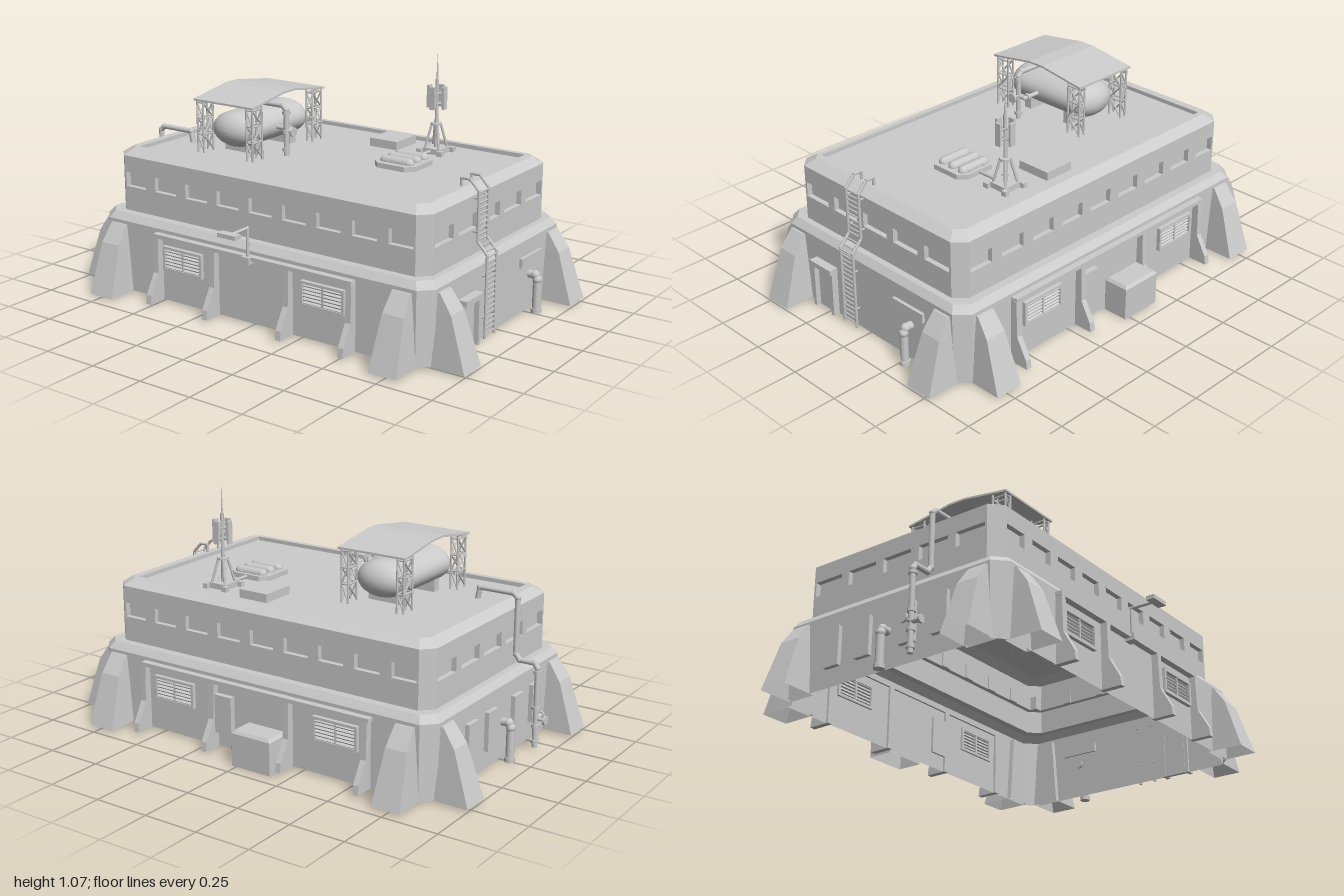
import * as THREE from 'three';

const V = (x, y, z) => new THREE.Vector3(x, y, z);
const flat = new THREE.MeshStandardMaterial({ color: 0xcccccc, flatShading: true });
const smooth = new THREE.MeshStandardMaterial({ color: 0xcccccc });
const shellMat = new THREE.MeshStandardMaterial({ color: 0xcccccc, flatShading: true, side: THREE.DoubleSide });
const CX = 0.007; // body centre in x

function add(parent, name, geo, mat = flat) {
  const m = new THREE.Mesh(geo, mat);
  m.name = name;
  parent.add(m);
  return m;
}
function group(parent, name, x = 0, y = 0, z = 0, ry = 0) {
  const g = new THREE.Group();
  g.name = name;
  g.position.set(x, y, z);
  g.rotation.y = ry;
  parent.add(g);
  return g;
}
// box given by its min and max on each axis
function box(parent, name, x0, x1, y0, y1, z0, z1) {
  const m = add(parent, name, new THREE.BoxGeometry(x1 - x0, y1 - y0, z1 - z0));
  m.position.set((x0 + x1) / 2, (y0 + y1) / 2, (z0 + z1) / 2);
  return m;
}
function rod(parent, name, a, b, r, sides = 6, r2 = r) {
  const d = b.clone().sub(a);
  const m = add(parent, name, new THREE.CylinderGeometry(r2, r, d.length(), sides), smooth);
  m.position.copy(a).add(b).multiplyScalar(0.5);
  m.quaternion.setFromUnitVectors(V(0, 1, 0), d.normalize());
  return m;
}
// run of straight pipes with ball joints
function pipe(parent, name, pts, r, sides = 10) {
  const g = group(parent, name);
  pts.forEach((p, i) => {
    if (i) rod(g, name + 'Run', pts[i - 1], p, r, sides);
    if (i && i < pts.length - 1)
      add(g, name + 'Elbow', new THREE.SphereGeometry(r * 1.15, sides, 6), smooth).position.copy(p);
  });
  return g;
}
// skin over rings of [x, z] points stacked in y, with a cap on the last ring
function loft(rings) {
  const pos = [];
  const n = rings[0].p.length;
  const P = (i, j) => [rings[i].p[j % n][0], rings[i].y, rings[i].p[j % n][1]];
  const last = rings.length - 1;
  for (let j = 0; j < n; j++) {
    for (let i = 0; i < last; i++)
      pos.push(...P(i, j), ...P(i + 1, j), ...P(i, j + 1), ...P(i, j + 1), ...P(i + 1, j), ...P(i + 1, j + 1));
    if (j > 0 && j < n - 1) pos.push(...P(last, 0), ...P(last, j + 1), ...P(last, j));
  }
  const g = new THREE.BufferGeometry();
  g.setAttribute('position', new THREE.Float32BufferAttribute(pos, 3));
  g.computeVertexNormals();
  return g;
}
const oct = (y, hx, hz, c) => ({ y, p: [[hx, c - hz], [hx, hz - c], [hx - c, hz], [c - hx, hz],
  [-hx, hz - c], [-hx, c - hz], [c - hx, -hz], [hx - c, -hz]] });

function buttress(parent, x, z, ry) {
  const ring = (y, d, w) => ({ y, p: [[w, -0.02], [w, d], [-w, d], [-w, -0.02]] });
  const g = group(parent, 'buttress', x, 0, z, ry);
  add(g, 'buttressBlock', loft([ring(0.01, 0.142, 0.065), ring(0.235, 0.068, 0.049), ring(0.315, 0.012, 0.042)]), shellMat);
}

// bent vent pipe standing in front of a wall (out = local +z)
function gooseneck(parent, x, h) {
  const g = group(parent, 'ventPipe', x, 0, 0);
  pipe(g, 'vent', [V(0, 0, 0.04), V(0, h - 0.03, 0.04), V(0, h - 0.01, 0.03), V(0, h - 0.01, -0.01)], 0.018, 12);
  rod(g, 'ventFoot', V(0, 0, 0.04), V(0, 0.02, 0.04), 0.023, 12);
}

// louvred vent on a wall (out = local +z)
function louvre(parent, x) {
  const g = group(parent, 'louvre', x, 0.208, 0);
  for (const s of [-1, 1]) {
    box(g, 'louvreFrame', -0.108, 0.108, s * 0.049 - 0.006, s * 0.049 + 0.006, -0.01, 0.018);
    box(g, 'louvreFrame', s * 0.102 - 0.006, s * 0.102 + 0.006, -0.05, 0.05, -0.01, 0.018);
  }
  box(g, 'louvreMullion', -0.004, 0.004, -0.05, 0.05, -0.01, 0.014);
  for (let i = 0; i < 6; i++) {
    const s = box(g, 'louvreSlat', -0.1, 0.1, -0.003, 0.003, -0.006, 0.014);
    s.position.y = -0.038 + i * 0.015;
    s.rotation.x = 0.5;
  }
}

// long wall dressing: fins, top rail and louvres (out = local +z)
function sideWall(parent, name, x, ry, finsAt, half) {
  const g = group(parent, name, x, 0, 0, ry);
  const s = new THREE.Shape([[-0.01, 0.01], [0.09, 0.01], [0.085, 0.05], [0.035, 0.14], [0.03, 0.3], [-0.01, 0.315]]
    .map(p => new THREE.Vector2(...p)));
  for (const f of finsAt) {
    const m = add(g, 'fin', new THREE.ExtrudeGeometry(s, { depth: 0.026, bevelEnabled: false }));
    m.rotation.y = -Math.PI / 2;
    m.position.x = f + 0.013;
  }
  box(g, 'topRail', -half, half, 0.297, 0.315, -0.01, 0.03);
  louvre(g, -0.42 * half / 0.59);
  louvre(g, 0.42 * half / 0.59);
  return g;
}

function buildBody(root) {
  const g = group(root, 'building', CX);
  add(g, 'shell', loft([
    oct(0.01, 0.564, 0.86, 0.055), oct(0.33, 0.564, 0.86, 0.055), oct(0.36, 0.54, 0.838, 0.05),
    oct(0.36, 0.503, 0.81, 0.05), oct(0.47, 0.503, 0.81, 0.05), oct(0.47, 0.48, 0.787, 0.04),
    oct(0.535, 0.48, 0.787, 0.04), oct(0.535, 0.503, 0.81, 0.05), oct(0.61, 0.503, 0.81, 0.05),
    oct(0.64, 0.458, 0.768, 0.035), oct(0.64, 0.432, 0.73, 0.004), oct(0.622, 0.432, 0.73, 0.004)]), shellMat);
  // pillars between the windows
  for (const s of [-1, 1]) {
    for (let i = 0; i < 8; i++) {
      const z = -0.609 + i * 0.174;
      box(g, 'windowPillar', s * 0.488 - 0.0148, s * 0.488 + 0.0148, 0.47, 0.535, z - 0.027, z + 0.027);
    }
    for (const x of [-0.28, -0.093, 0.093, 0.28])
      box(g, 'windowPillar', x - 0.02, x + 0.02, 0.47, 0.535, s * 0.795 - 0.0148, s * 0.795 + 0.0148);
    for (const t of [-1, 1]) {
      const c = new THREE.Shape([[0.503, 0.75], [0.503, 0.76], [0.453, 0.81], [0.443, 0.81], [0.443, 0.75]]
        .map(p => new THREE.Vector2(s * p[0], t * p[1])));
      const m = add(g, 'cornerPillar', new THREE.ExtrudeGeometry(c, { depth: 0.065, bevelEnabled: false }));
      m.rotation.x = Math.PI / 2;
      m.position.y = 0.535;
    }
  }
  for (const s of [-1, 1]) for (const t of [-1, 1]) {
    buttress(g, s * 0.455, t * 0.858, t > 0 ? 0 : Math.PI);
    buttress(g, s * 0.562, t * 0.742, s * Math.PI / 2);
  }
}

function buildWalls(root) {
  const left = sideWall(root, 'leftWall', CX + 0.564, Math.PI / 2, [-0.58, -0.2, 0.19, 0.57], 0.59);
  box(left, 'sideHatch', -0.195, -0.1, 0.08, 0.25, -0.01, 0.025);
  add(left, 'generator', loft([oct(0, 0.1, 0.06, 0.003), oct(0.145, 0.1, 0.06, 0.003), oct(0.158, 0.09, 0.05, 0.003)]), shellMat)
    .position.set(0.075, 0, 0.06);

  const right = sideWall(root, 'rightWall', CX - 0.564, -Math.PI / 2, [-0.505, -0.19, 0.2, 0.51], 0.52);
  box(right, 'lampBracket', -0.02, 0.02, 0.285, 0.315, 0, 0.045);
  pipe(right, 'lampPole', [V(0, 0.29, 0.024), V(0, 0.437, 0.024), V(0, 0.437, 0.14)], 0.007);
  box(right, 'lampHead', -0.047, 0.047, 0.428, 0.446, 0.125, 0.163);

  const front = group(root, 'frontWall', 0, 0, 0.86);
  box(front, 'door', -0.315, -0.215, 0.01, 0.215, -0.01, 0.008);
  for (const x of [-0.324, -0.205]) box(front, 'doorPost', x - 0.008, x + 0.008, 0.01, 0.22, -0.01, 0.03);
  box(front, 'doorLintel', -0.332, -0.196, 0.212, 0.235, -0.01, 0.04);
  box(front, 'wallPlate', 0.175, 0.355, 0.22, 0.262, -0.01, 0.015);
  gooseneck(front, 0.27, 0.18);

  const back = group(root, 'backWall', 0, 0, -0.86, Math.PI);
  for (const x of [-0.275, -0.113, 0.113, 0.275]) box(back, 'backPanel', x - 0.038, x + 0.038, 0.09, 0.26, -0.01, 0.02);
  gooseneck(back, 0.005, 0.18);
  const p = pipe(root, 'drainPipe', [V(-0.18, 0.62, -0.63), V(-0.18, 0.672, -0.64), V(-0.18, 0.672, -0.8), V(-0.18, 0.655, -0.82),
    V(-0.18, 0.41, -0.82), V(-0.18, 0.385, -0.84), V(-0.18, 0.385, -0.91), V(-0.18, 0.365, -0.925), V(-0.18, 0.01, -0.925)], 0.012);
  for (const y of [0.03, 0.1, 0.18, 0.34]) rod(p, 'pipeCollar', V(-0.18, y, -0.925), V(-0.18, y + 0.015, -0.925), 0.018, 10);
  rod(p, 'valveStem', V(-0.18, 0.14, -0.925), V(-0.18, 0.14, -0.965), 0.008);
  rod(p, 'valveWheel', V(-0.18, 0.14, -0.965), V(-0.18, 0.14, -0.975), 0.02, 12);
  rod(p, 'valveStub', V(-0.18, 0.14, -0.925), V(-0.225, 0.14, -0.925), 0.011, 10);
  rod(p, 'valveCap', V(-0.222, 0.14, -0.925), V(-0.232, 0.14, -0.925), 0.018, 10);
}

// ladder that steps in at the ledge and hooks over the parapet
function buildLadder(root) {
  const g = group(root, 'ladder', -0.099);
  const path = [[0.01, 0.878], [0.37, 0.878], [0.42, 0.832], [0.63, 0.832], [0.675, 0.79], [0.675, 0.75], [0.62, 0.75]];
  for (const s of [-1, 1]) {
    path.slice(1).forEach((p, i) => rod(g, 'ladderRail', V(s * 0.039, ...path[i]), V(s * 0.039, ...p), 0.007));
    for (const [y, z] of [[0.1, 0.86], [0.28, 0.86], [0.46, 0.81], [0.6, 0.81]])
      rod(g, 'ladderMount', V(s * 0.039, y, z - 0.01), V(s * 0.039, y, z + 0.02), 0.005);
  }
  for (let y = 0.03; y < 0.635; y += 0.022) {
    const z = 0.878 - 0.046 * THREE.MathUtils.clamp((y - 0.37) / 0.05, 0, 1);
    rod(g, 'rung', V(-0.039, y, z), V(0.039, y, z), 0.004);
  }
}

function buildTank(root) {
  const g = group(root, 'tankStation', -0.047, 0.622, -0.345);
  // squashed tank with domed ends
  const prof = [];
  for (let i = 0; i <= 8; i++) prof.push([Math.sin(i * Math.PI / 16), -0.16 - 0.085 * Math.cos(i * Math.PI / 16)]);
  const all = [...prof, ...prof.map(p => [p[0], -p[1]]).reverse()].map(p => new THREE.Vector2(p[0] * 0.08, p[1]));
  const t = add(g, 'tank', new THREE.LatheGeometry(all, 28), smooth);
  t.rotation.z = Math.PI / 2;
  t.scale.z = 1.53;
  t.position.y = 0.11;
  for (const x of [-0.12, 0.12]) box(g, 'saddle', x - 0.02, x + 0.02, 0, 0.06, -0.09, 0.09);
  rod(g, 'tankHatch', V(0.015, 0.18, 0), V(0.015, 0.2, 0), 0.012, 12);
  rod(g, 'tankHatchLid', V(0.015, 0.198, 0), V(0.015, 0.21, 0), 0.017, 12);
  // gently arched canopy
  const top = [[-0.263, 0.243], [-0.21, 0.25], [-0.04, 0.276], [0.04, 0.276], [0.21, 0.25], [0.263, 0.243]];
  const s = new THREE.Shape([...top, ...top.map(p => [p[0], p[1] - 0.009]).reverse()].map(p => new THREE.Vector2(...p)));
  add(g, 'canopy', new THREE.ExtrudeGeometry(s, { depth: 0.33, bevelEnabled: false })).position.z = -0.165;
  // braced lattice towers at the corners
  for (const sx of [-1, 1]) for (const sz of [-1, 1]) {
    const w = group(g, 'tower', sx * 0.218, 0, sz * 0.137);
    const c = [[-0.033, -0.016], [0.033, -0.016], [0.033, 0.016], [-0.033, 0.016]];
    c.forEach(([x, z], k) => {
      const [x2, z2] = c[(k + 1) % 4];
      rod(w, 'towerLeg', V(x, 0, z), V(x, x * sx > 0 ? 0.237 : 0.246, z), 0.005);
      for (let i = 0; i < 3; i++) {
        const y = 0.01 + i * 0.072, a = i % 2 ? 0.072 : 0;
        rod(w, 'towerBrace', V(x, y + a, z), V(x2, y + 0.072 - a, z2), 0.004);
        rod(w, 'towerTie', V(x, y + 0.072, z), V(x2, y + 0.072, z2), 0.004);
      }
    });
  }
  // filling pipe with valve
  pipe(g, 'fillPipe', [V(-0.072, 0, 0.2), V(-0.072, 0.205, 0.2), V(-0.072, 0.222, 0.18),
    V(-0.072, 0.222, 0.02), V(-0.072, 0.205, 0), V(-0.072, 0.17, 0)], 0.012);
  for (const y of [0.02, 0.1, 0.185]) rod(g, 'pipeCollar', V(-0.072, y, 0.2), V(-0.072, y + 0.015, 0.2), 0.018, 10);
  rod(g, 'valveStem', V(-0.072, 0.11, 0.2), V(-0.072, 0.11, 0.235), 0.008);
  rod(g, 'valveWheel', V(-0.072, 0.11, 0.235), V(-0.072, 0.11, 0.243), 0.022, 12);
  pipe(g, 'outletPipe', [V(-0.072, 0.11, 0.2), V(-0.033, 0.11, 0.2), V(-0.033, 0.11, 0.1)], 0.01);
  rod(g, 'outletFlange', V(-0.033, 0.11, 0.18), V(-0.033, 0.11, 0.19), 0.018, 10);
}

function buildRoofGear(root) {
  box(root, 'roofHatch', 0.23, 0.392, 0.62, 0.66, 0.06, 0.203);
  const rack = group(root, 'cylinderRack', 0.05, 0.622, 0.355);
  add(rack, 'rackBase', loft([oct(0, 0.103, 0.103, 0.035), oct(0.022, 0.103, 0.103, 0.035)]));
  for (const x of [-0.052, 0.006, 0.064]) {
    const m = add(rack, 'gasCylinder', new THREE.CapsuleGeometry(0.022, 0.12, 6, 12), smooth);
    m.rotation.x = Math.PI / 2;
    m.position.set(x, 0.025, 0);
  }
  for (const z of [-0.04, 0.04]) box(rack, 'rackStrap', -0.078, 0.09, 0.015, 0.03, z - 0.005, z + 0.005);
  rod(rack, 'cable', V(0.1, 0.012, 0), V(0.23, 0.012, 0), 0.008);

  const a = group(root, 'antenna', 0.306, 0.622, 0.36);
  box(a, 'antennaBase', -0.045, 0.045, 0, 0.025, -0.045, 0.045);
  rod(a, 'mast', V(0, 0, 0), V(0, 0.33, 0), 0.008, 8);
  rod(a, 'mastTip', V(0, 0.33, 0), V(0, 0.443, 0), 0.005, 6, 0.001);
  rod(a, 'mastCollar', V(0, 0.125, 0), V(0, 0.135, 0), 0.026, 8);
  for (let i = 0; i < 4; i++) {
    const q = group(a, 'antennaArm', 0, 0, 0, i * Math.PI / 2);
    rod(q, 'antennaLeg', V(0.04, 0, 0.04), V(0.014, 0.13, 0.014), 0.006);
    box(q, 'antennaFoot', 0.04, 0.064, 0, 0.022, 0.04, 0.064);
    for (const y of [0.22, 0.265]) rod(q, 'antennaBar', V(0, y, 0), V(0.037, y, 0), 0.004);
    box(q, 'antennaPanel', 0.032, 0.044, 0.2, 0.3, -0.014, 0.014);
  }
}

export function createModel() {
  const root = new THREE.Group();
  root.name = 'bunker';
  buildBody(root);
  buildWalls(root);
  buildLadder(root);
  buildTank(root);
  buildRoofGear(root);
  return root;
}
